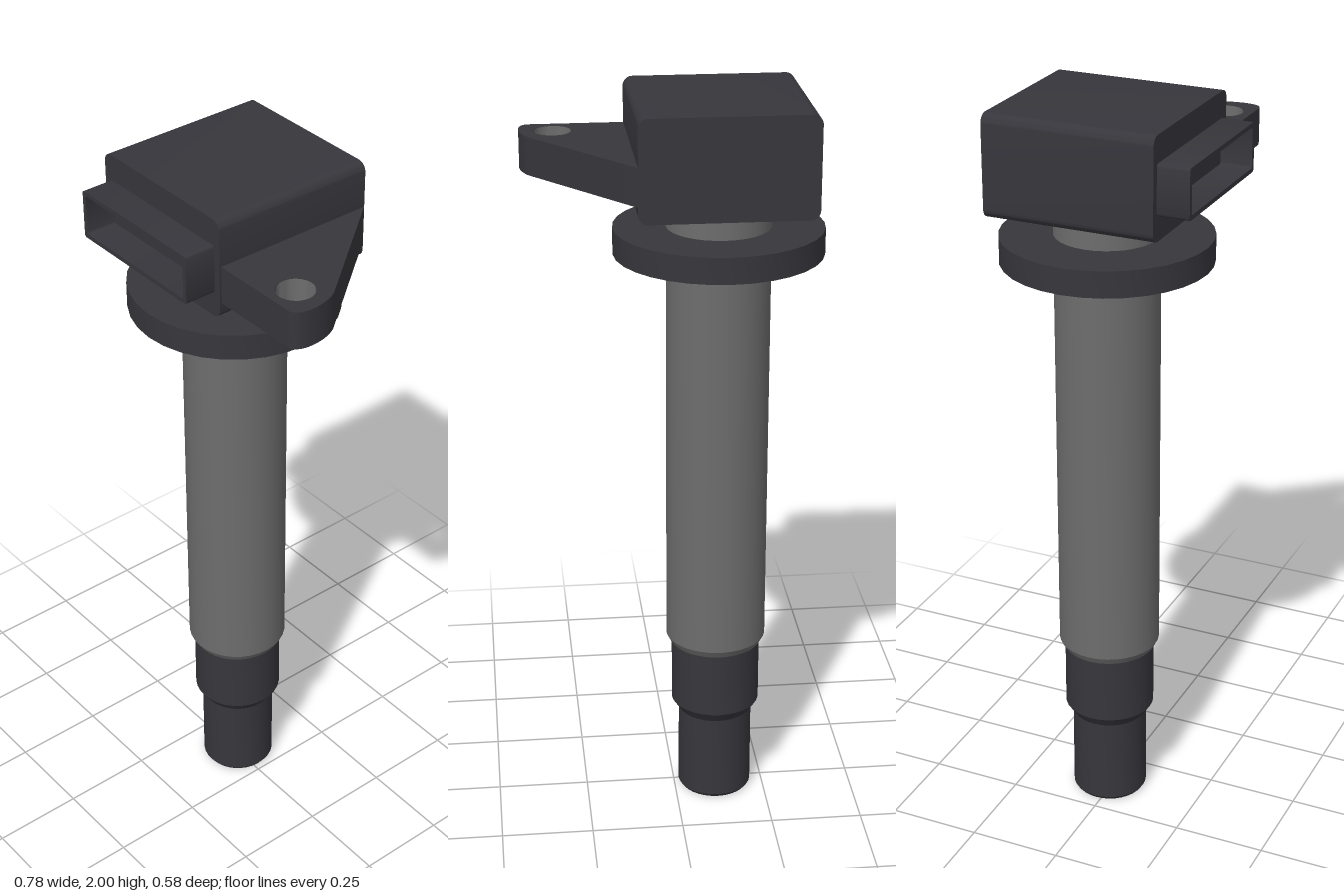
import * as THREE from 'three';
import { toCreasedNormals } from 'three/addons/utils/BufferGeometryUtils.js';

const AXIS_X = -0.115, AXIS_Z = -0.015;

// Rounded rectangle outline, usable as a shape or as a hole
function roundedRect(Type, x0, y0, x1, y1, r) {
  const p = new Type();
  p.absarc(x1 - r, y0 + r, r, -Math.PI / 2, 0, false);
  p.absarc(x1 - r, y1 - r, r, 0, Math.PI / 2, false);
  p.absarc(x0 + r, y1 - r, r, Math.PI / 2, Math.PI, false);
  p.absarc(x0 + r, y0 + r, r, Math.PI, Math.PI * 1.5, false);
  p.closePath();
  return p;
}

function extrude(shape, depth, curveSegments = 5) {
  return new THREE.ExtrudeGeometry(shape, { depth, bevelEnabled: false, curveSegments });
}

export function createModel() {
  const group = new THREE.Group();
  const dark = new THREE.MeshStandardMaterial({ color: 0x37363c });
  const grey = new THREE.MeshStandardMaterial({ color: 0x6d6d6d });
  const bushingGrey = new THREE.MeshStandardMaterial({ color: 0x6d6d6d, side: THREE.DoubleSide });

  const add = (name, geometry, material, x = 0, y = 0, z = 0) => {
    const mesh = new THREE.Mesh(toCreasedNormals(geometry, 0.5), material);
    mesh.name = name;
    mesh.position.set(x, y, z);
    group.add(mesh);
  };
  // Turned part on the shaft axis, profile given as [radius, height] from the bottom up
  const turned = (name, profile, material) => add(name,
    new THREE.LatheGeometry(profile.map(([r, y]) => new THREE.Vector2(r, y)), 32),
    material, AXIS_X, 0, AXIS_Z);

  // Stepped rubber boot, shaft and sealing flange
  turned('boot', [[0, 0], [0.095, 0], [0.102, 0.01], [0.102, 0.25], [0.122, 0.28], [0.122, 0.48], [0, 0.48]], dark);
  turned('shaft', [[0, 0.465], [0.126, 0.465], [0.137, 0.485], [0.137, 1.745], [0, 1.745]], grey);
  turned('flange', [[0.13, 1.59], [0.275, 1.59], [0.275, 1.66], [0.13, 1.66]], dark);

  // Head block with rounded long edges
  add('head', extrude(roundedRect(THREE.Shape, -0.34, 1.735, 0.112, 2, 0.025), 0.455), dark, 0, 0, -0.245);

  // Hollow connector shroud, open towards the front
  const shroud = roundedRect(THREE.Shape, -0.32, 1.8, 0.092, 1.93, 0.008);
  shroud.holes.push(roundedRect(THREE.Path, -0.308, 1.812, 0.08, 1.918, 0.005));
  add('connectorShroud', extrude(shroud, 0.087), dark, 0, 0, 0.208);

  // Triangular mounting ear, drawn in plan and laid flat
  const ear = new THREE.Shape();
  ear.moveTo(0.1, -0.245);
  ear.lineTo(0.112, -0.245);
  ear.lineTo(0.365, 0.072);
  ear.quadraticCurveTo(0.386, 0.105, 0.388, 0.15);
  ear.quadraticCurveTo(0.388, 0.205, 0.357, 0.205);
  ear.lineTo(0.1, 0.205);
  ear.closePath();
  const hole = new THREE.Path();
  hole.absarc(0.3, 0.133, 0.049, 0, Math.PI * 2, true);
  ear.holes.push(hole);
  add('mountingEar', extrude(ear, 0.1, 12).rotateX(Math.PI / 2), dark, 0, 1.88, 0);

  // Metal lining of the bolt hole
  add('boltBushing', new THREE.CylinderGeometry(0.048, 0.048, 0.1, 32, 1, true), bushingGrey, 0.3, 1.83, 0.133);

  return group;
}
